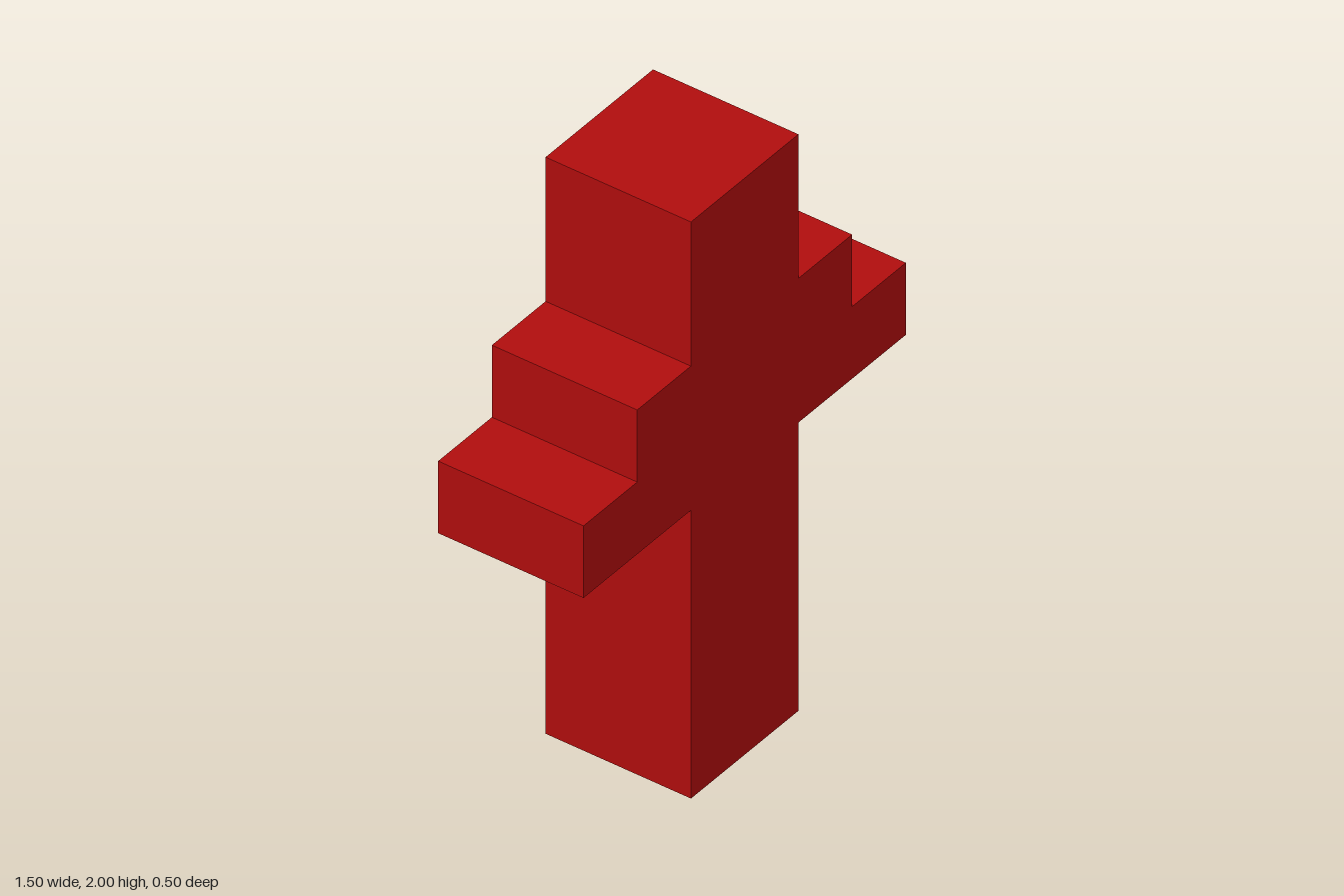
import * as THREE from 'three';

const DEPTH = 0.5;

export function createModel() {
  const model = new THREE.Group();
  model.name = 'steppedCross';

  const red = new THREE.MeshStandardMaterial({ color: 0xb00d0d });
  red.name = 'red';

  // Right half of the outline, bottom to top; mirrored for the other half
  const half = [
    [0.25, 0], [0.25, 1], [0.75, 1], [0.75, 1.25],
    [0.5, 1.25], [0.5, 1.5], [0.25, 1.5], [0.25, 2],
  ];
  const mirrored = half.map(([x, y]) => [-x, y]).reverse();
  const outline = new THREE.Shape(
    [...half, ...mirrored].map(([x, y]) => new THREE.Vector2(x, y))
  );

  // Post and stepped arms as one solid, centred in depth
  const geometry = new THREE.ExtrudeGeometry(outline, { depth: DEPTH, bevelEnabled: false });
  geometry.translate(0, 0, -DEPTH / 2);

  const body = new THREE.Mesh(geometry, red);
  body.name = 'postAndSteppedArms';
  model.add(body);

  return model;
}
